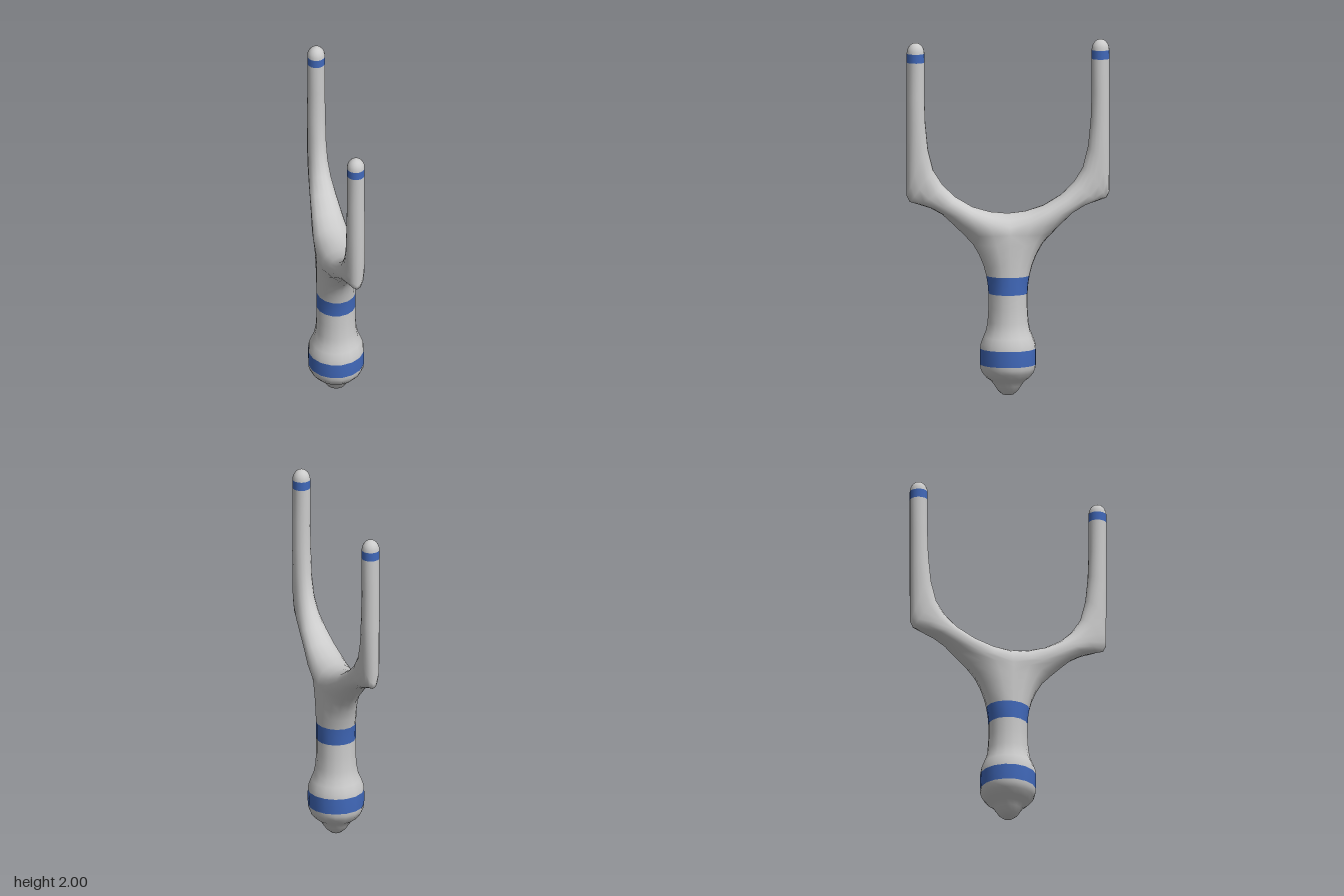
import * as THREE from 'three';
import { mergeVertices } from 'three/addons/utils/BufferGeometryUtils.js';

const SIDES = 16;
const grey = new THREE.MeshStandardMaterial({ color: 0xcccccc });
const blue = new THREE.MeshStandardMaterial({ color: 0x4169bb });

// Turned part from [radius, y] pairs, bottom to top
function turned(name, profile, material, z = 0) {
  const pts = profile.map(([r, y]) => new THREE.Vector2(r, y));
  const mesh = new THREE.Mesh(new THREE.LatheGeometry(pts, SIDES), material);
  mesh.name = name;
  mesh.position.z = z;
  return mesh;
}

// Loft mirrored across z = 0. Each section is two half ellipses sharing a centre:
// [centre z, y, inner tip z, y, outer tip z, y, half width in x]
function mirroredLoft(name, sections, material) {
  const pos = [], index = [];
  for (const side of [1, -1]) {
    const base = pos.length / 3;
    for (const [cz, cy, pz, py, qz, qy, w] of sections) {
      for (let k = 0; k < SIDES; k++) {
        const a = (k / SIDES) * Math.PI * 2;
        const s = Math.sin(a), t = Math.abs(s) < 1e-9 ? 0 : Math.abs(s);
        const [tz, ty] = s > 0 ? [qz, qy] : [pz, py];
        pos.push(w * Math.cos(a), cy + t * (ty - cy), side * (cz + t * (tz - cz)));
      }
    }
    const tri = (a, b, c) => {
      // faces lying on the mirror plane would be inside the body
      if ([a, b, c].every((i) => Math.abs(pos[i * 3 + 2]) < 1e-6)) return;
      if (side > 0) index.push(a, b, c);
      else index.push(a, c, b);
    };
    for (let i = 0; i < sections.length - 1; i++) {
      for (let k = 0; k < SIDES; k++) {
        const n = (k + 1) % SIDES;
        const a = base + i * SIDES, b = a + SIDES;
        tri(a + k, b + k, a + n);
        tri(b + k, b + n, a + n);
      }
    }
  }
  let geo = new THREE.BufferGeometry();
  geo.setAttribute('position', new THREE.Float32BufferAttribute(pos, 3));
  geo.setIndex(index);
  geo = mergeVertices(geo, 1e-4);
  geo.computeVertexNormals();
  const mesh = new THREE.Mesh(geo, material);
  mesh.name = name;
  return mesh;
}

// Trunk section: a round slice at height y
const slice = (y, depth, w = 0.11) => [0, y, 0, y, depth, y, w];

export function createModel() {
  const group = new THREE.Group();
  group.name = 'slingshot';

  // Handle with bulbous pommel
  group.add(turned('pommel', [
    [0, 0.005], [0.03, 0.01], [0.055, 0.03], [0.075, 0.06], [0.092, 0.085],
    [0.12, 0.105], [0.145, 0.135], [0.155, 0.16], [0.157, 0.18],
  ], grey));
  group.add(turned('pommelBand', [[0.157, 0.18], [0.158, 0.225], [0.157, 0.27]], blue));
  group.add(turned('grip', [
    [0.157, 0.27], [0.153, 0.3], [0.14, 0.335], [0.125, 0.37], [0.115, 0.42],
    [0.11, 0.5], [0.11, 0.58],
  ], grey));
  group.add(mirroredLoft('gripBand', [
    slice(0.58, 0.11), slice(0.63, 0.114), slice(0.68, 0.122),
  ], blue));

  // Fork: trunk slices, crown, then the two arms
  group.add(mirroredLoft('fork', [
    slice(0.68, 0.122),
    slice(0.74, 0.138),
    slice(0.8, 0.163),
    slice(0.86, 0.198),
    [0, 0.92, 0, 1.03, 0.245, 0.91, 0.11],
    [0.11, 0.96, 0.1, 1.04, 0.305, 0.97, 0.104],
    [0.23, 1.025, 0.2, 1.07, 0.37, 1.03, 0.088],
    [0.34, 1.09, 0.3, 1.13, 0.435, 1.067, 0.074],
    [0.42, 1.15, 0.37, 1.2, 0.505, 1.09, 0.063],
    [0.475, 1.23, 0.42, 1.28, 0.553, 1.105, 0.056],
    [0.505, 1.34, 0.45, 1.4, 0.57, 1.14, 0.053],
    [0.517, 1.52, 0.465, 1.55, 0.57, 1.48, 0.052],
    [0.52, 1.7, 0.47, 1.7, 0.57, 1.7, 0.05],
    [0.52, 1.89, 0.47, 1.89, 0.57, 1.89, 0.05],
  ], grey));

  // Band and domed cap on each arm
  for (const z of [0.52, -0.52]) {
    group.add(turned('armBand', [[0.05, 1.89], [0.05, 1.94]], blue, z));
    const dome = [];
    for (let i = 0; i <= 6; i++) {
      const a = (i / 6) * Math.PI / 2;
      dome.push([i === 6 ? 0 : 0.05 * Math.cos(a), 1.94 + 0.06 * Math.sin(a)]);
    }
    group.add(turned('armCap', dome, grey, z));
  }
  return group;
}
